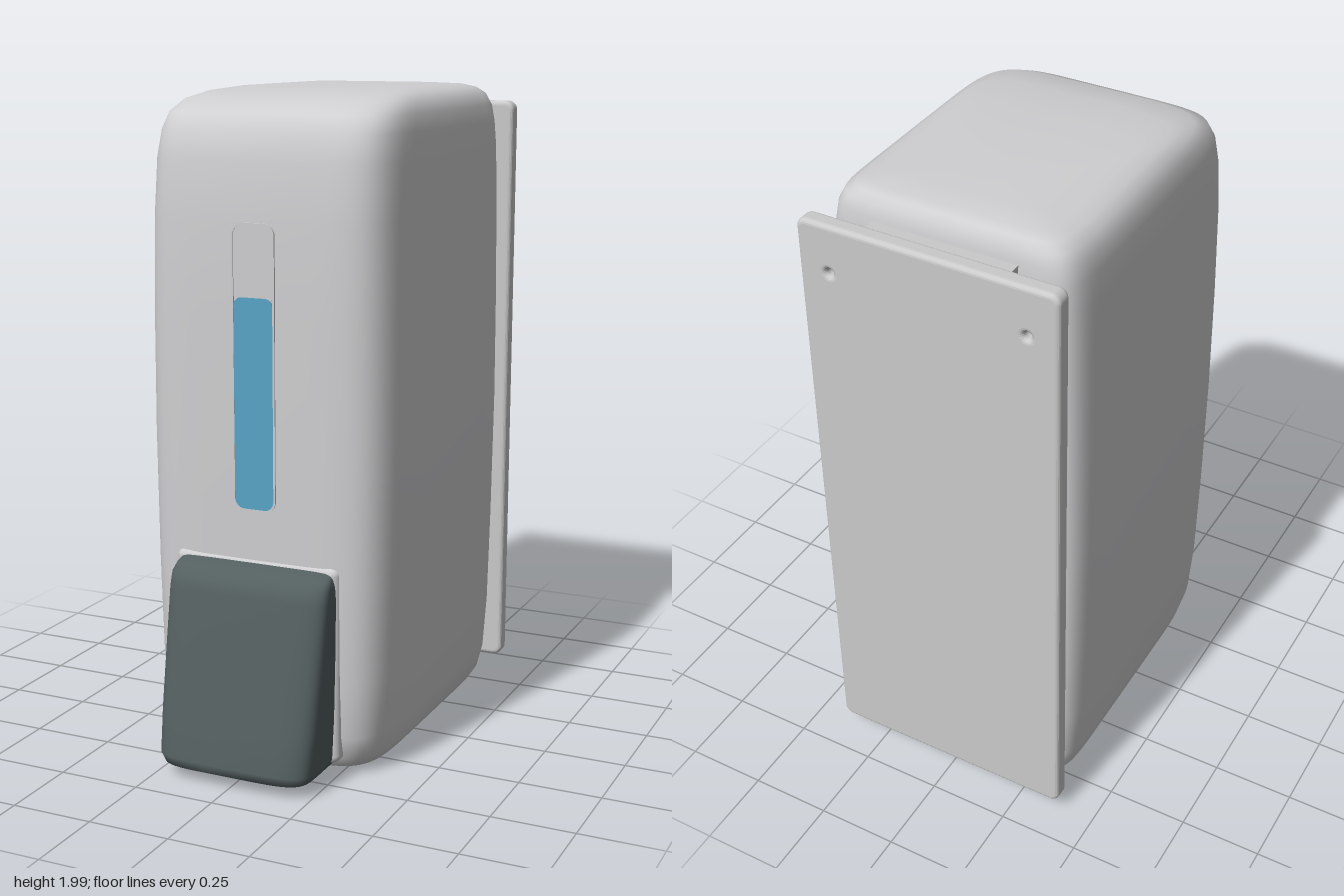
import * as THREE from 'three';
import { RoundedBoxGeometry } from 'three/addons/geometries/RoundedBoxGeometry.js';

const material = (name, color) => {
  const m = new THREE.MeshStandardMaterial({ color });
  m.name = name;
  return m;
};

// Closed loft through rounded sections, listed from bottom to top as
// [y, half width, z back, z front]; higher exponents give squarer corners.
function loft(sections, frontPower, backPower, steps = 80) {
  const pos = [], index = [];
  for (const [y, w, zb, zf] of sections) {
    const mid = (zb + zf) / 2, depth = (zf - zb) / 2;
    for (let i = 0; i < steps; i++) {
      const t = (i / steps) * Math.PI * 2, c = Math.cos(t), s = Math.sin(t);
      const p = 2 / (s >= 0 ? frontPower : backPower);
      pos.push(Math.sign(c) * w * Math.abs(c) ** p, y, mid + Math.sign(s) * depth * Math.abs(s) ** p);
    }
  }
  const last = sections.length - 1;
  for (let j = 0; j < last; j++) {
    for (let i = 0; i < steps; i++) {
      const k = (i + 1) % steps, a = j * steps, b = a + steps;
      index.push(a + i, b + i, a + k, a + k, b + i, b + k);
    }
  }
  // End caps
  for (const j of [0, last]) {
    const [y, , zb, zf] = sections[j];
    const centre = pos.length / 3, a = j * steps;
    pos.push(0, y, (zb + zf) / 2);
    for (let i = 0; i < steps; i++) {
      const k = (i + 1) % steps;
      if (j === 0) index.push(centre, a + i, a + k);
      else index.push(centre, a + k, a + i);
    }
  }
  const g = new THREE.BufferGeometry();
  g.setAttribute('position', new THREE.Float32BufferAttribute(pos, 3));
  g.setIndex(index);
  g.computeVertexNormals();
  return g;
}

function roundedRect(x0, y0, x1, y1, r, Type = THREE.Shape) {
  const s = new Type();
  s.absarc(x1 - r, y0 + r, r, -Math.PI / 2, 0);
  s.absarc(x1 - r, y1 - r, r, 0, Math.PI / 2);
  s.absarc(x0 + r, y1 - r, r, Math.PI / 2, Math.PI);
  s.absarc(x0 + r, y0 + r, r, Math.PI, Math.PI * 1.5);
  s.closePath();
  return s;
}

export function createModel() {
  const group = new THREE.Group();
  const shell = material('shell grey', 0xcfcfd1);
  const plateGrey = material('plate grey', 0xcbcaca);
  const charcoal = material('charcoal', 0x545f60);
  const blue = material('liquid blue', 0x58a5c6);

  const add = (name, geometry, mat, x = 0, y = 0, z = 0) => {
    const mesh = new THREE.Mesh(geometry, mat);
    mesh.name = name;
    mesh.position.set(x, y, z);
    group.add(mesh);
    return mesh;
  };

  // Softly bulging housing with a large front top radius
  add('housing', loft([
    [0.008, 0.27, -0.52, 0.34],
    [0.012, 0.305, -0.54, 0.38],
    [0.025, 0.335, -0.553, 0.41],
    [0.06, 0.358, -0.561, 0.435],
    [0.13, 0.376, -0.564, 0.45],
    [0.3, 0.388, -0.565, 0.457],
    [0.6, 0.395, -0.565, 0.46],
    [1.0, 0.4, -0.565, 0.46],
    [1.35, 0.398, -0.565, 0.46],
    [1.63, 0.393, -0.565, 0.457],
    [1.8, 0.388, -0.564, 0.443],
    [1.88, 0.381, -0.562, 0.423],
    [1.93, 0.371, -0.558, 0.39],
    [1.965, 0.352, -0.548, 0.32],
    [1.985, 0.322, -0.53, 0.21],
    [1.995, 0.28, -0.5, 0.07],
    [2.0, 0.2, -0.42, -0.1],
  ], 6, 10), shell);

  // Raised surround and the wedge-shaped push lever
  add('leverSurround', new RoundedBoxGeometry(0.53, 0.6, 0.08, 4, 0.025), shell, 0, 0.355, 0.427);
  add('pushLever', loft([
    [0.042, 0.215, 0.38, 0.635],
    [0.048, 0.235, 0.38, 0.655],
    [0.075, 0.248, 0.38, 0.66],
    [0.2, 0.253, 0.38, 0.634],
    [0.4, 0.256, 0.38, 0.59],
    [0.56, 0.257, 0.38, 0.556],
    [0.6, 0.255, 0.38, 0.543],
    [0.622, 0.25, 0.38, 0.515],
    [0.638, 0.242, 0.38, 0.475],
    [0.645, 0.225, 0.38, 0.44],
  ], 5, 20), charcoal);

  // Level window: thin rim, clear upper part and visible liquid
  const thin = { depth: 0.008, bevelEnabled: false, curveSegments: 6 };
  const rim = roundedRect(-0.07, 0.795, 0.066, 1.632, 0.035);
  rim.holes.push(roundedRect(-0.064, 0.801, 0.06, 1.626, 0.03, THREE.Path));
  add('windowRim', new THREE.ExtrudeGeometry(rim, thin), shell, 0, 0, 0.456);
  add('windowPane', new THREE.ExtrudeGeometry(roundedRect(-0.064, 1.4, 0.06, 1.626, 0.03), thin), shell, 0, 0, 0.453);
  add('liquidLevel', new THREE.ExtrudeGeometry(roundedRect(-0.064, 0.801, 0.06, 1.42, 0.025), thin), blue, 0, 0, 0.455);

  // Wall plate with two screw holes, and the spacer joining it to the housing
  const bevel = 0.014;
  const wall = roundedRect(-0.394 + bevel, 0.06 + bevel, 0.394 - bevel, 1.937 - bevel, 0.015);
  for (const x of [-0.3, 0.3]) {
    const hole = new THREE.Path();
    hole.absarc(x, 1.79, 0.026, 0, Math.PI * 2, true);
    wall.holes.push(hole);
  }
  add('wallPlate', new THREE.ExtrudeGeometry(wall, {
    depth: 0.028, bevelThickness: bevel, bevelSize: bevel, bevelSegments: 4, curveSegments: 8,
  }), plateGrey, 0, 0, -0.646);
  add('spacer', new THREE.BoxGeometry(0.44, 1.84, 0.08), plateGrey, 0, 1.0, -0.585);

  return group;
}
